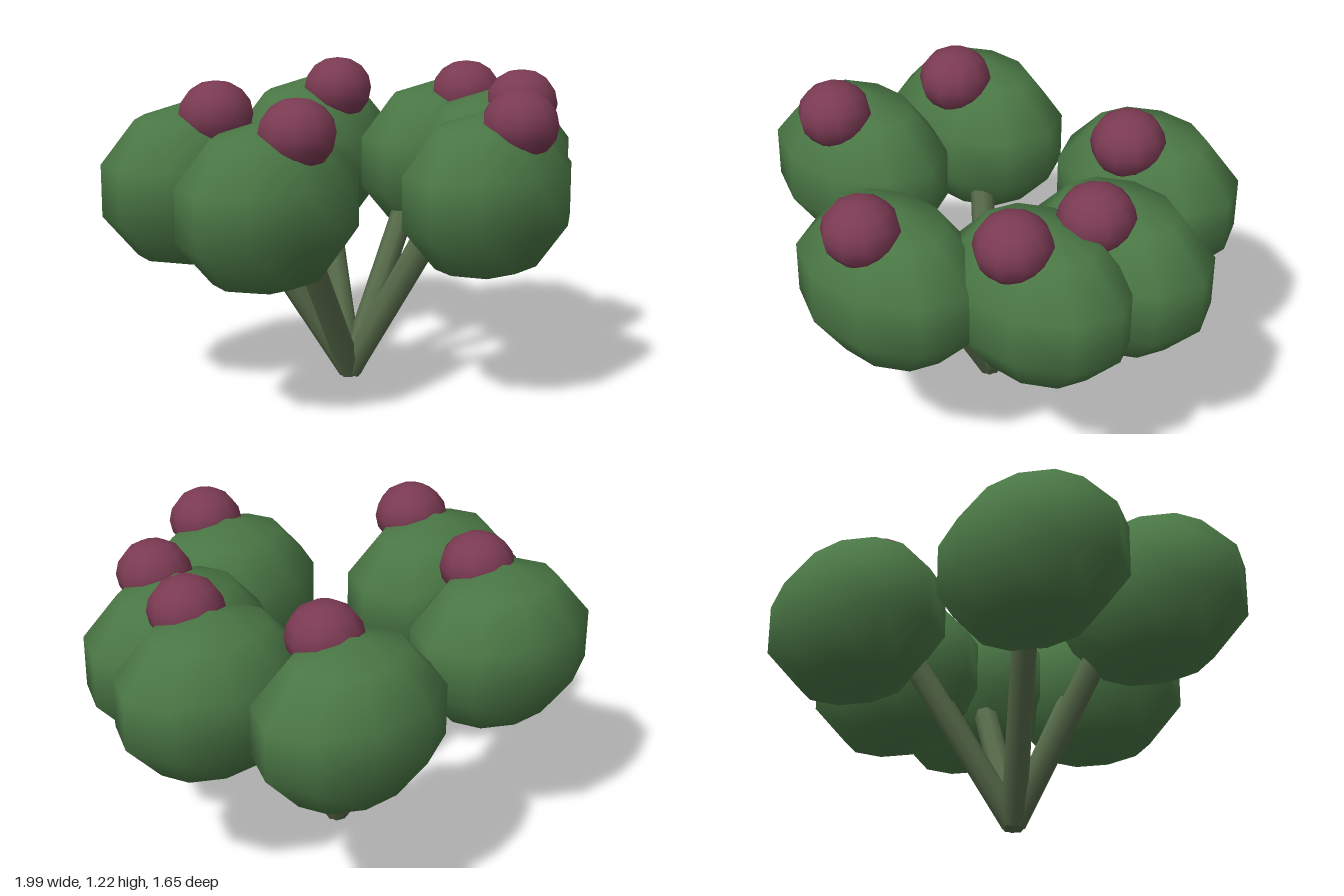
import * as THREE from 'three';

export function createModel() {
  const model = new THREE.Group();
  const stemMat = new THREE.MeshStandardMaterial({ name: 'dull stem green', color: 0x566a49 });
  const padMat = new THREE.MeshStandardMaterial({ name: 'leaf green', color: 0x4a7745 });
  const flowerMat = new THREE.MeshStandardMaterial({ name: 'plum red', color: 0x7a3a52 });

  // Shared shapes: squashed crown, small blossom and unit-length stem
  const crownGeo = new THREE.SphereGeometry(1, 10, 5).scale(0.405, 0.324, 0.304);
  const blossomGeo = new THREE.SphereGeometry(1, 10, 8).scale(0.145, 0.13, 0.145);
  const stemGeo = new THREE.CylinderGeometry(0.048, 0.048, 1, 8).translate(0, 0.5, 0);

  const up = new THREE.Vector3(0, 1, 0);
  const root = new THREE.Vector3(-0.01, 0.024, -0.06);

  // Crown centres on the ground plane [x, z]
  const crowns = [
    [-0.46, -0.485], [0.37, -0.555], [0.61, -0.07],
    [0.51, 0.262], [0.05, 0.547], [-0.613, 0.04],
  ];

  for (const [x, z] of crowns) {
    const branch = new THREE.Group();
    branch.name = 'branch';

    // Straight stem leaning outward, ending inside the crown
    const reach = new THREE.Vector3(x, 1.02, z).sub(root).multiplyScalar(0.72);
    const stem = new THREE.Mesh(stemGeo, stemMat);
    stem.name = 'stem';
    stem.position.copy(root);
    stem.scale.y = reach.length();
    stem.quaternion.setFromUnitVectors(up, reach.clone().normalize());

    const crown = new THREE.Mesh(crownGeo, padMat);
    crown.name = 'crown';
    crown.position.set(x, 0.804, z);

    // Blossom sits on top, toward the front
    const blossom = new THREE.Mesh(blossomGeo, flowerMat);
    blossom.name = 'blossom';
    blossom.position.set(x, 1.085, z + 0.135);

    branch.add(stem, crown, blossom);
    model.add(branch);
  }
  return model;
}
